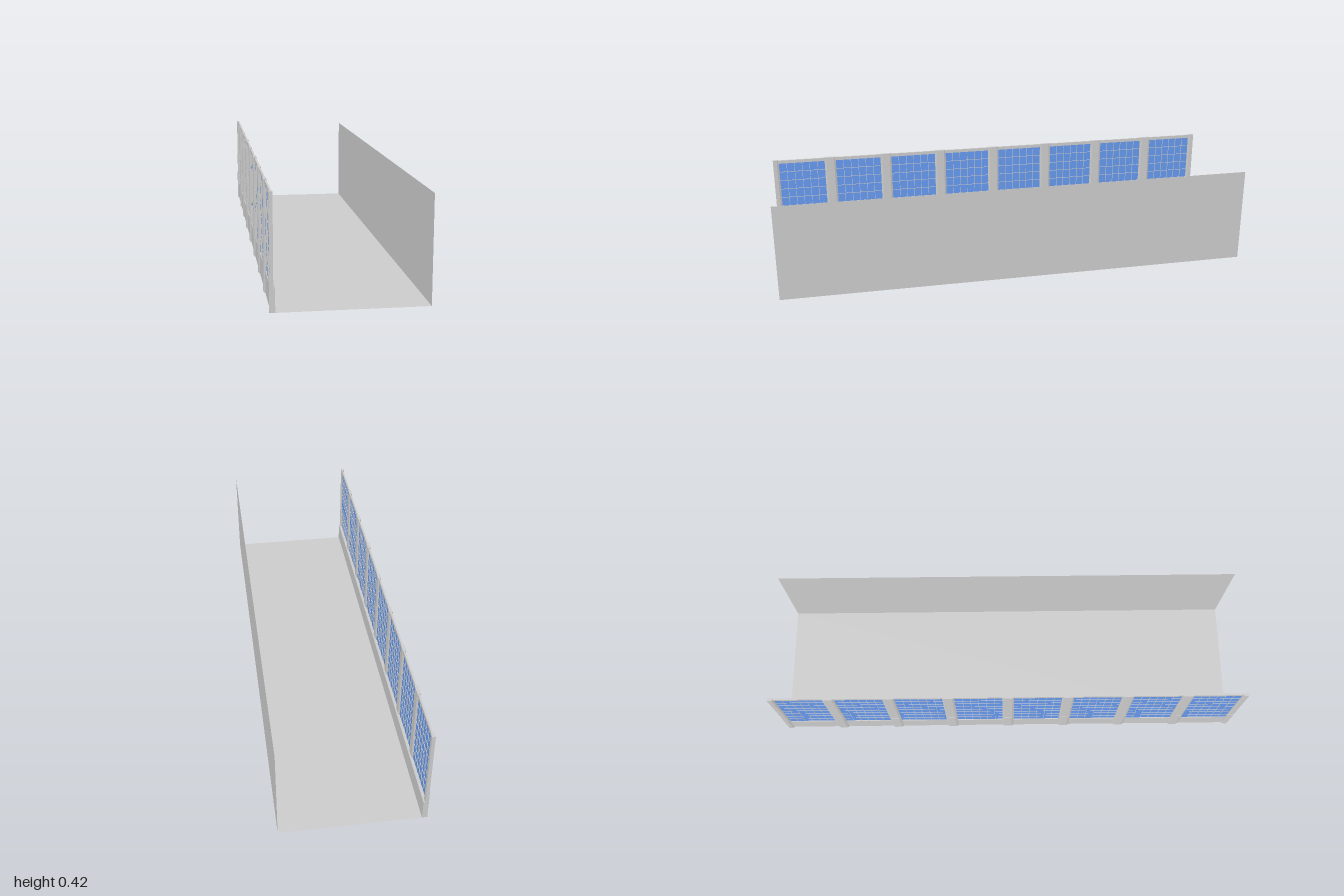
import * as THREE from 'three';

const BAYS = 8, PITCH = 2 / BAYS, PILLAR = 0.05;
const TOP = 0.42, SILL = 0.085, HEAD = 0.405;

const grey = new THREE.MeshStandardMaterial({ color: 0xcccccc, flatShading: true });
const greyThin = new THREE.MeshStandardMaterial({ color: 0xcccccc, side: THREE.DoubleSide });
const blue = new THREE.MeshStandardMaterial({ color: 0x6699ee, side: THREE.DoubleSide });

function add(parent, name, geometry, material, x = 0, y = 0, z = 0) {
  const mesh = new THREE.Mesh(geometry, material);
  mesh.name = name;
  mesh.position.set(x, y, z);
  parent.add(mesh);
  return mesh;
}

// Box given by its limits on each axis
function block(parent, name, x0, x1, y0, y1, z0, z1, material = grey) {
  return add(parent, name, new THREE.BoxGeometry(x1 - x0, y1 - y0, z1 - z0), material,
    (x0 + x1) / 2, (y0 + y1) / 2, (z0 + z1) / 2);
}

// Upright post with bevelled corners; the end posts are cut at z = -1 and z = 1
function post(parent, name, x0, x1, z, width, height, bevel) {
  const z0 = z - width / 2, z1 = z + width / 2;
  const clip = (v) => Math.max(-1, Math.min(1, v));
  const points = [[x0, z0 + bevel], [x0 + bevel / 2, z0], [x1 - bevel / 2, z0], [x1, z0 + bevel],
    [x1, z1 - bevel], [x1 - bevel / 2, z1], [x0 + bevel / 2, z1], [x0, z1 - bevel]]
    .map(([x, w]) => new THREE.Vector2(x, -clip(w)));
  const unique = points.filter((p, i) => !p.equals(points[(i + 1) % points.length]));
  const geometry = new THREE.ExtrudeGeometry(new THREE.Shape(unique), { depth: height, bevelEnabled: false });
  geometry.rotateX(-Math.PI / 2);
  add(parent, name, geometry, grey);
}

// Glazed bay with a fine lattice on both sides of the pane
function windowBay(z) {
  const bay = new THREE.Group();
  bay.name = 'windowBay';
  const half = (PITCH - PILLAR) / 2, cols = 6, rows = 8, t = 0.0009;
  const pane = add(bay, 'glass', new THREE.PlaneGeometry(2 * half, HEAD - SILL), blue, -0.2765, (HEAD + SILL) / 2, z);
  pane.rotation.y = Math.PI / 2;
  for (let i = 1; i < cols; i++) {
    const c = z - half + (2 * half * i) / cols;
    block(bay, 'verticalBar', -0.2785, -0.2745, SILL, HEAD, c - t, c + t);
  }
  for (let j = 1; j < rows; j++) {
    const c = SILL + ((HEAD - SILL) * j) / rows;
    block(bay, 'crossBar', -0.278, -0.275, c - t, c + t, z - half, z + half);
  }
  return bay;
}

export function createModel() {
  const model = new THREE.Group();
  model.name = 'corridor';

  // Thin floor and plain side wall
  add(model, 'floor', new THREE.PlaneGeometry(0.56, 2).rotateX(-Math.PI / 2), greyThin);
  add(model, 'plainWall', new THREE.PlaneGeometry(2, 0.4).rotateY(Math.PI / 2), greyThin, 0.28, 0.2, 0);

  const wall = new THREE.Group();
  wall.name = 'windowWall';
  model.add(wall);

  // Low wall below the windows, with a small bevel on its inner top edge
  const profile = new THREE.Shape([[-0.28, 0], [-0.265, 0], [-0.265, 0.082], [-0.268, SILL], [-0.28, SILL]]
    .map(([x, y]) => new THREE.Vector2(x, y)));
  add(wall, 'sill', new THREE.ExtrudeGeometry(profile, { depth: 2, bevelEnabled: false }), grey, 0, 0, -1);

  // Rail along the top
  block(wall, 'topRail', -0.28, -0.273, HEAD, TOP - 0.001, -1, 1);

  // Posts between the bays, each with a slightly thicker outer foot
  for (let i = 0; i <= BAYS; i++) {
    const z = -1 + i * PITCH;
    post(wall, 'post', -0.284, -0.271, z, PILLAR, TOP, 0.008);
    post(wall, 'postFoot', -0.2855, -0.275, z, PILLAR - 0.004, 0.138, 0.008);
  }

  for (let i = 0; i < BAYS; i++) wall.add(windowBay(-1 + (i + 0.5) * PITCH));

  return model;
}
